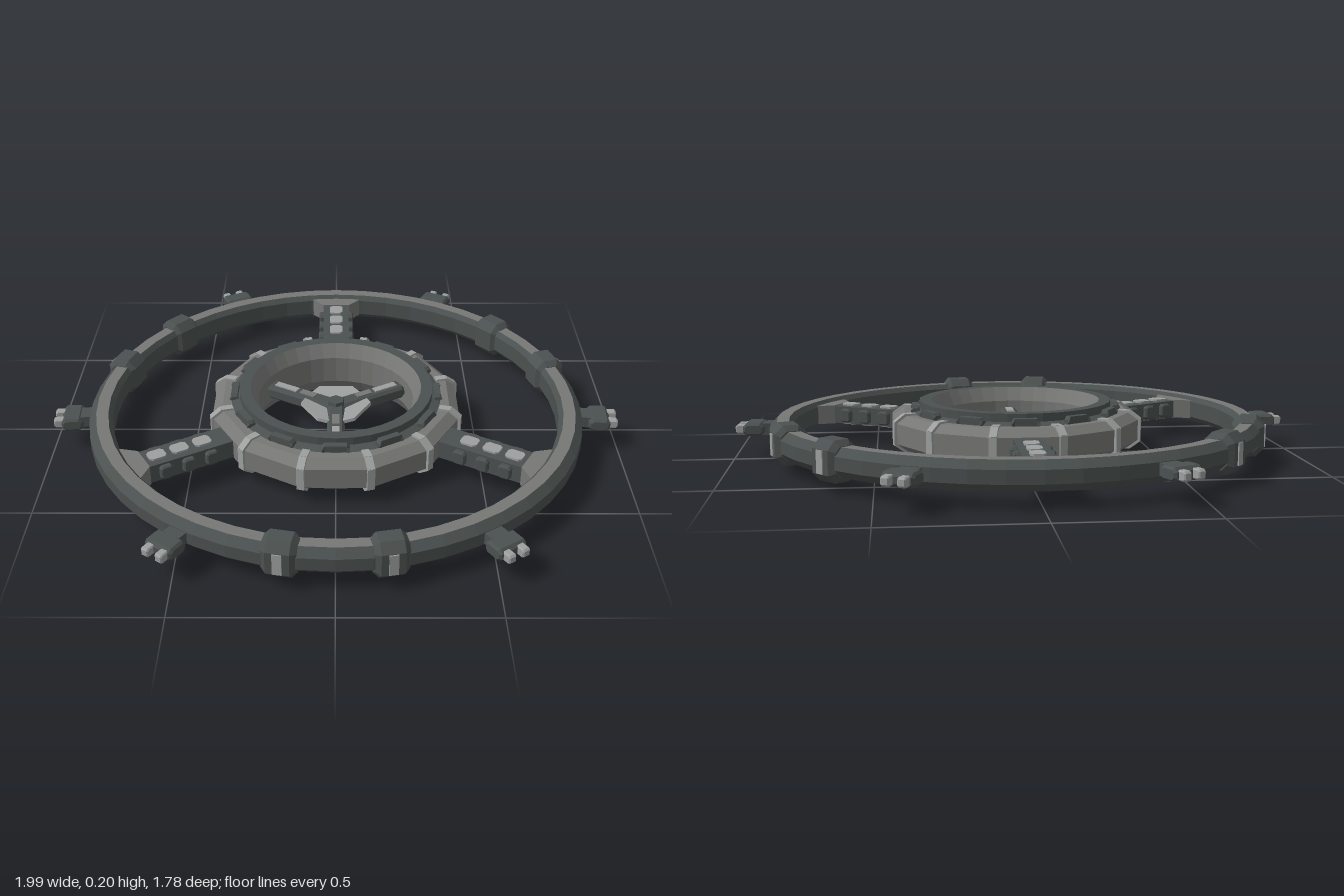
import * as THREE from 'three';

const RAD = Math.PI / 180;
const MID_Y = 0.1;

function material(name, color) {
  const m = new THREE.MeshStandardMaterial({ color, flatShading: true });
  m.name = name;
  return m;
}

export function createModel() {
  const dark = material('darkHull', 0x4b5150);
  const mid = material('greyHull', 0x777876);
  const light = material('lightPanel', 0x9da09f);

  const model = new THREE.Group();
  model.name = 'ringStation';
  const station = new THREE.Group();
  station.name = 'station';
  station.position.set(0, MID_Y, 0.013);
  model.add(station);

  function add(parent, name, geo, mat, x = 0, y = 0, z = 0) {
    const mesh = new THREE.Mesh(geo, mat);
    mesh.name = name;
    mesh.position.set(x, y, z);
    parent.add(mesh);
    return mesh;
  }

  // Turned band: profile runs up the outside, inward over the top, down the inside
  function band(name, points, mat, sides, start = 0) {
    const pts = points.map(([r, y]) => new THREE.Vector2(r, y));
    return add(station, name, new THREE.LatheGeometry(pts, sides, start), mat);
  }

  // Group whose local +z points outward at the given angle
  function spoke(name, degrees) {
    const g = new THREE.Group();
    g.name = name;
    g.rotation.y = degrees * RAD;
    station.add(g);
    return g;
  }

  // Box with every edge along and across x chamfered
  function block(w, h, d, c) {
    const a = d / 2 - c, b = h / 2 - c, k = c;
    const s = new THREE.Shape([
      [-a + k, -b], [a - k, -b], [a, -b + k], [a, b - k],
      [a - k, b], [-a + k, b], [-a, b - k], [-a, -b + k],
    ].map(p => new THREE.Vector2(...p)));
    const geo = new THREE.ExtrudeGeometry(s, {
      depth: w - 2 * c, bevelEnabled: true, bevelSize: c, bevelThickness: c, bevelSegments: 1,
    });
    geo.translate(0, 0, -(w - 2 * c) / 2);
    return geo.rotateY(-Math.PI / 2);
  }

  // Flat plate from an outline in x and z, centred in height
  function plate(points, h) {
    const s = new THREE.Shape(points.map(([x, z]) => new THREE.Vector2(x, -z)));
    const geo = new THREE.ExtrudeGeometry(s, { depth: h, bevelEnabled: false });
    return geo.translate(0, 0, -h / 2).rotateX(-Math.PI / 2);
  }

  // Outer ring: dark bevelled flanks with grey flats above and below
  band('outerRingOutside', [[0.845, -0.048], [0.871, -0.022], [0.871, 0.022], [0.845, 0.048]], dark, 48);
  band('outerRingInside', [[0.803, 0.048], [0.788, 0.03], [0.788, -0.03], [0.803, -0.048]], dark, 48);
  band('outerRingTop', [[0.845, 0.048], [0.803, 0.048]], mid, 48);
  band('outerRingBottom', [[0.803, -0.048], [0.845, -0.048]], mid, 48);

  // Hub: twelve-sided collar around a tall core with a pale bore
  band('hubCollar', [
    [0.36, -0.062], [0.412, -0.062], [0.447, -0.036], [0.447, 0.036], [0.412, 0.062], [0.36, 0.062],
  ], mid, 12, 15 * RAD);
  band('hubCore', [
    [0.302, -0.1], [0.342, -0.1], [0.342, -0.072], [0.378, -0.06],
    [0.378, 0.06], [0.342, 0.072], [0.342, 0.1], [0.302, 0.1],
  ], dark, 36);
  band('hubBore', [[0.302, 0.1], [0.275, 0.05], [0.275, -0.05], [0.302, -0.1]], mid, 36);

  for (let i = 0; i < 12; i++) {
    // Lugs under both core lips
    const lug = spoke('hubLugs', i * 30);
    for (const s of [-1, 1]) add(lug, 'lug', block(0.095, 0.036, 0.055, 0.01), dark, 0, s * 0.069, 0.358);

    // Clips over the collar corners
    const clip = spoke('collarClip', i * 30 + 15);
    add(clip, 'clipFace', new THREE.BoxGeometry(0.026, 0.08, 0.014), light, 0, 0, 0.446);
    for (const s of [-1, 1]) {
      add(clip, 'clipArm', new THREE.BoxGeometry(0.026, 0.01, 0.042), light, 0, s * 0.064, 0.394);
      const slope = add(clip, 'clipSlope', new THREE.BoxGeometry(0.026, 0.01, 0.045), light, 0, s * 0.051, 0.431);
      slope.rotation.x = s * 0.64;
    }
  }

  for (const angle of [60, 180, 300]) {
    // Spoke joining the hub to the outer ring
    const arm = spoke('spoke', angle);
    add(arm, 'spokeBeam', new THREE.BoxGeometry(0.1, 0.064, 0.37), dark, 0, 0, 0.595);
    add(arm, 'spokeFlare', plate([[-0.052, 0.735], [-0.095, 0.783], [-0.095, 0.81],
      [0.095, 0.81], [0.095, 0.783], [0.052, 0.735]], 0.07), mid);
    for (const z of [0.515, 0.598, 0.68]) {
      for (const s of [-1, 1]) {
        add(arm, 'spokeLug', block(0.026, 0.05, 0.045, 0.005), dark, s * 0.055, 0, z);
        add(arm, 'spokePanel', plate([[-0.025, z - 0.02], [-0.015, z - 0.03], [0.015, z - 0.03], [0.025, z - 0.02],
          [0.025, z + 0.02], [0.015, z + 0.03], [-0.015, z + 0.03], [-0.025, z + 0.02]].reverse(), 0.008),
        light, 0, s * 0.035, 0.01);
      }
    }

    // Docking ports on either side of each spoke
    for (const s of [-1, 1]) {
      const dock = spoke('dock', angle + s * 26.2);
      add(dock, 'dockNeck', new THREE.BoxGeometry(0.065, 0.04, 0.06), dark, 0, 0, 0.885);
      add(dock, 'dockBody', block(0.108, 0.046, 0.075, 0.008), dark, 0, 0, 0.932);
      for (const x of [-0.027, 0.027]) {
        add(dock, 'dockProng', block(0.028, 0.032, 0.05, 0.004), light, x, 0, 0.972);
      }
    }
  }

  for (const angle of [0, 120, 240]) {
    // Clamps gripping the outer ring in pairs
    for (const s of [-1, 1]) {
      const clamp = spoke('ringClamp', angle + s * 11.4);
      add(clamp, 'clampBody', block(0.112, 0.136, 0.11, 0.018), dark, 0, 0, 0.829);
      add(clamp, 'clampStrip', new THREE.BoxGeometry(0.03, 0.075, 0.008), light, 0, 0, 0.884);
    }

    // Inner strut from the bore to the centre
    const strut = spoke('innerStrut', angle);
    add(strut, 'strutBeam', block(0.062, 0.05, 0.285, 0.01), dark, 0, 0, 0.14);
    for (const s of [-1, 1]) {
      add(strut, 'strutStripe', new THREE.BoxGeometry(0.026, 0.008, 0.09), light, 0, s * 0.026, 0.205);
      add(strut, 'strutStripeInner', new THREE.BoxGeometry(0.026, 0.008, 0.06), mid, 0, s * 0.026, 0.115);
    }

    // Angled panel filling the gap between struts
    const web = spoke('centrePanel', angle + 60);
    const panel = add(web, 'panel', plate([[-0.02, 0.04], [-0.088, 0.08], [-0.06, 0.112],
      [0.06, 0.112], [0.088, 0.08], [0.02, 0.04]], 0.012), light);
    panel.rotation.x = -0.2;
  }
  add(station, 'centreBoss', new THREE.CylinderGeometry(0.03, 0.045, 0.075, 6), dark);

  return model;
}
